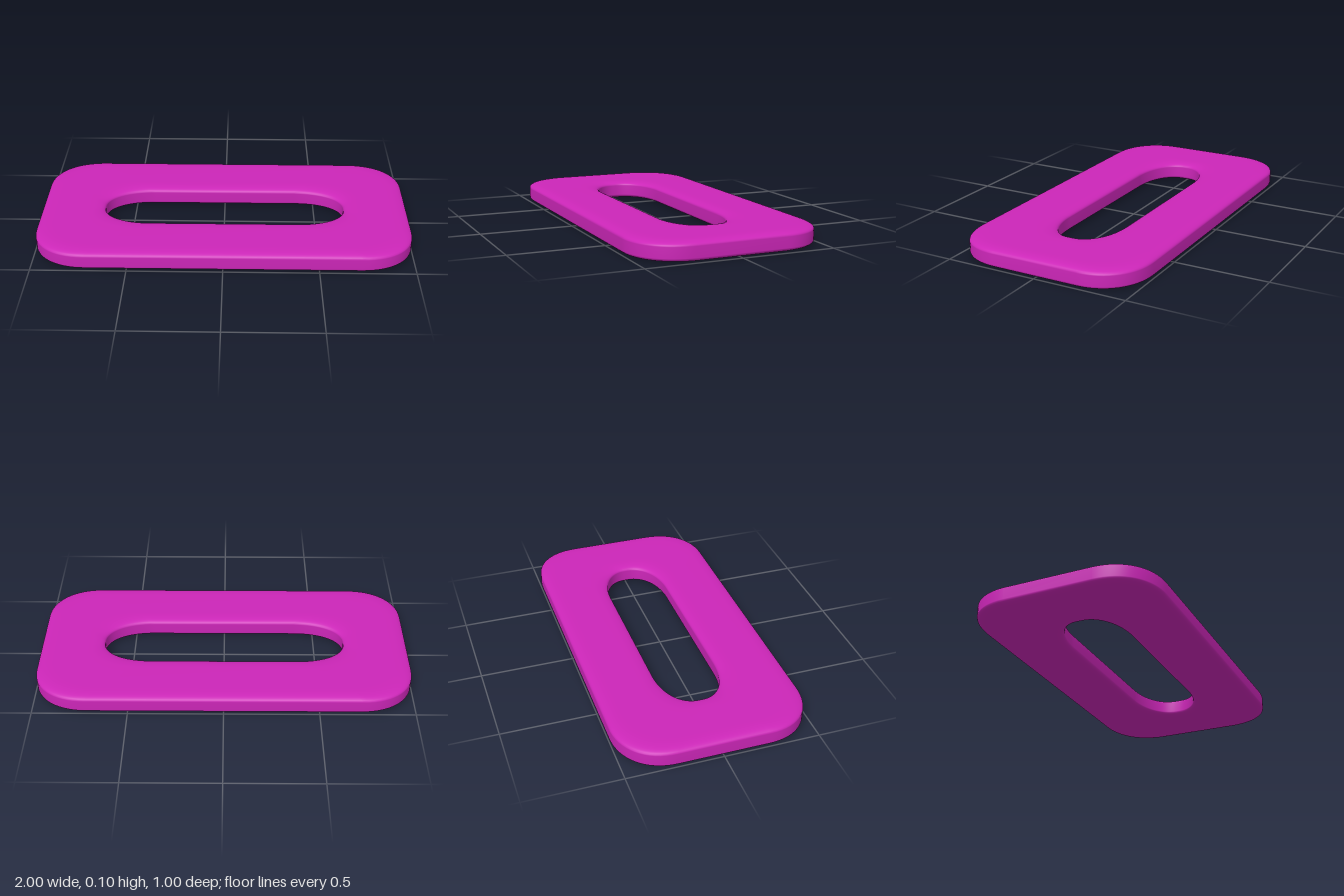
import * as THREE from 'three';

const HEIGHT = 0.105;
const CORNER_STEPS = 16;

// Closed rounded outline in (x, z): soft corner curve mirrored into four quadrants
function outline(halfX, halfZ, straightX, straightZ, pull) {
  const lerp = THREE.MathUtils.lerp;
  const corner = new THREE.CubicBezierCurve(
    new THREE.Vector2(halfX, straightZ),
    new THREE.Vector2(halfX, lerp(straightZ, halfZ, pull)),
    new THREE.Vector2(lerp(straightX, halfX, pull), halfZ),
    new THREE.Vector2(straightX, halfZ)
  ).getPoints(CORNER_STEPS);
  const loop = [];
  for (const [sx, sz] of [[1, 1], [-1, 1], [-1, -1], [1, -1]]) {
    const points = sx * sz > 0 ? corner : [...corner].reverse();
    for (const p of points) loop.push(new THREE.Vector2(p.x * sx, p.y * sz));
  }
  return loop;
}

// Band cross-section: x runs from outer rim (0) to hole rim (1), y is height
function bandProfile() {
  const bevel = new THREE.QuadraticBezierCurve(
    new THREE.Vector2(0, HEIGHT - 0.025),
    new THREE.Vector2(0, HEIGHT),
    new THREE.Vector2(0.25, HEIGHT)
  ).getPoints(8);
  const flipX = (p) => new THREE.Vector2(1 - p.x, p.y);
  const top = [...bevel, ...[...bevel].reverse().map(flipX)];
  const bottom = [...top].reverse().map((p) => new THREE.Vector2(p.x, HEIGHT - p.y));
  return [...top, ...bottom];
}

// Sweep the cross-section around the ring between the two outlines
function ringGeometry(outer, inner, profile) {
  const positions = [], index = [];
  const nu = outer.length, nv = profile.length;
  for (let i = 0; i < nu; i++) {
    for (const p of profile) {
      const q = outer[i].clone().lerp(inner[i], p.x);
      positions.push(q.x, p.y, q.y);
    }
    for (let j = 0; j < nv; j++) {
      const i2 = (i + 1) % nu, j2 = (j + 1) % nv;
      const a = i * nv + j, b = i * nv + j2, c = i2 * nv + j2, d = i2 * nv + j;
      index.push(a, b, d, b, c, d);
    }
  }
  const geometry = new THREE.BufferGeometry();
  geometry.setAttribute('position', new THREE.Float32BufferAttribute(positions, 3));
  geometry.setIndex(index);
  geometry.computeVertexNormals();
  return geometry;
}

export function createModel() {
  const group = new THREE.Group();
  group.name = 'slottedPlate';

  // Rounded plate with a long slot through its middle
  const plate = new THREE.Mesh(
    ringGeometry(
      outline(1, 0.5, 0.72, 0.24, 0.6),
      outline(0.655, 0.17, 0.39, 0.01, 0.58),
      bandProfile()
    ),
    new THREE.MeshStandardMaterial({ color: 0xcc26b8 })
  );
  plate.name = 'plate';
  group.add(plate);
  return group;
}
